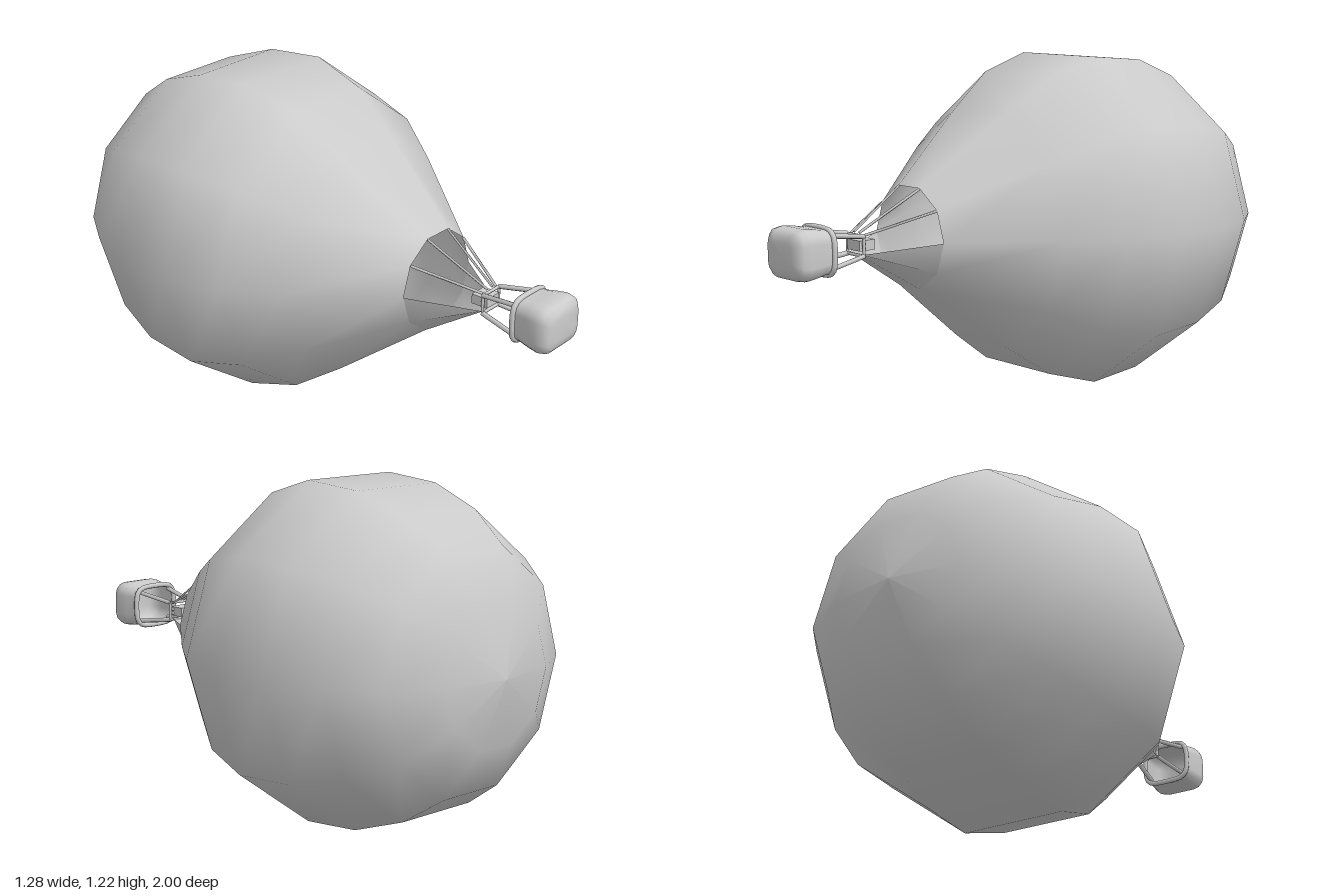
import * as THREE from 'three';

const AXIS = 0.605; // height of the balloon's long axis
const mat = new THREE.MeshStandardMaterial({ color: 0xcccccc });
const matDouble = new THREE.MeshStandardMaterial({ color: 0xcccccc, side: THREE.DoubleSide });

// Surface of revolution about z from [radius, z] pairs
function latheZ(profile, sides, start, length) {
  const pts = profile.map(([r, z]) => new THREE.Vector2(r, z));
  return new THREE.LatheGeometry(pts, sides, start, length).rotateX(Math.PI / 2);
}

// Thin straight rod between two points
function rod(a, b, radius, sides = 6) {
  const dir = b.clone().sub(a);
  const g = new THREE.CylinderGeometry(radius, radius, dir.length(), sides);
  g.applyQuaternion(new THREE.Quaternion().setFromUnitVectors(new THREE.Vector3(0, 1, 0), dir.normalize()));
  const mid = a.clone().add(b).multiplyScalar(0.5);
  return g.translate(mid.x, mid.y, mid.z);
}

// Rounded rectangle loop, counterclockwise seen from +z
function ring(hx, hy, z, steps = 3) {
  const r = Math.min(hx, hy) * 0.55, out = [];
  [[1, 1], [-1, 1], [-1, -1], [1, -1]].forEach(([sx, sy], q) => {
    for (let i = 0; i <= steps; i++) {
      const a = (q + i / steps) * Math.PI / 2;
      out.push(new THREE.Vector3(sx * (hx - r) + r * Math.cos(a), sy * (hy - r) + r * Math.sin(a), z));
    }
  });
  return out;
}

// Skin joining loops listed from low z to high z
function loft(rings) {
  const n = rings[0].length, pos = [], idx = [];
  rings.forEach(loop => loop.forEach(p => pos.push(p.x, p.y, p.z)));
  for (let k = 0; k < rings.length - 1; k++) {
    for (let i = 0; i < n; i++) {
      const a = k * n + i, b = k * n + (i + 1) % n;
      idx.push(a, b, b + n, a, b + n, a + n);
    }
  }
  const g = new THREE.BufferGeometry();
  g.setAttribute('position', new THREE.Float32BufferAttribute(pos, 3));
  g.setIndex(idx);
  g.computeVertexNormals();
  return g;
}

export function createModel() {
  const model = new THREE.Group();
  const body = new THREE.Group();
  body.name = 'balloon';
  body.position.y = AXIS;
  model.add(body);
  const add = (name, geo, material = mat) => {
    const m = new THREE.Mesh(geo, material);
    m.name = name;
    body.add(m);
    return m;
  };
  const V = (x, y, z) => new THREE.Vector3(x, y, z);

  // Ten-sided envelope, open at the mouth
  add('envelope', latheZ([
    [0, -1], [0.25, -0.96], [0.435, -0.855], [0.545, -0.70], [0.62, -0.495],
    [0.64, -0.265], [0.575, -0.055], [0.445, 0.13], [0.187, 0.46],
  ], 10, Math.PI / 2, Math.PI * 2), matDouble);

  // Scoop: lower half of the mouth, flattened to a narrow lip
  const scoop = latheZ([[0.187, 0.46], [0.042, 0.69]], 5, -Math.PI / 2, Math.PI);
  const p = scoop.attributes.position;
  for (let i = 0; i < p.count; i++) {
    if (p.getZ(i) > 0.6) p.setY(i, -0.03 + 0.12 * p.getY(i));
  }
  scoop.computeVertexNormals();
  add('scoop', scoop, matDouble);

  // Ropes from the upper mouth corners to the burner frame
  for (const deg of [36, 72, 108, 144]) {
    const a = deg * Math.PI / 180, c = Math.cos(a), s = Math.sin(a);
    add('mouthRope', rod(V(0.185 * c, 0.185 * s, 0.46), V(0.045 * c, 0.022 + 0.022 * s, 0.69), 0.005, 4));
  }

  // Burner and its square frame
  const burner = new THREE.BoxGeometry(0.07, 0.036, 0.065);
  add('burner', burner).position.set(0, 0, 0.672);
  const corners = [V(0.046, 0.034, 0.695), V(-0.046, 0.034, 0.695), V(-0.046, -0.034, 0.695), V(0.046, -0.034, 0.695)];
  corners.forEach((c, i) => {
    add('burnerFrameBar', rod(c, corners[(i + 1) % 4], 0.006));
    // Upright leading down to the basket corner
    const foot = V(Math.sign(c.x) * 0.072, Math.sign(c.y) * 0.058, 0.86);
    add('basketUpright', rod(c, foot, 0.009));
  });
  for (const y of [-0.008, 0.008]) add('burnerSupport', rod(V(-0.046, y, 0.69), V(0.046, y, 0.69), 0.005));

  // Basket wall, closed at the far end and open towards the burner
  add('basket', loft([
    ring(0.092, 0.076, 0.85), ring(0.093, 0.077, 0.875), ring(0.101, 0.083, 0.91),
    ring(0.107, 0.088, 0.95), ring(0.102, 0.083, 0.98), ring(0.085, 0.066, 0.996),
    ring(0.055, 0.04, 1.0), ring(0.0001, 0.0001, 1.0),
  ]), matDouble);

  // Padded rim around the basket opening
  const rimPath = new THREE.CatmullRomCurve3(ring(0.093, 0.077, 0.852), true);
  add('basketRim', new THREE.TubeGeometry(rimPath, 32, 0.01, 8, true));

  return model;
}
